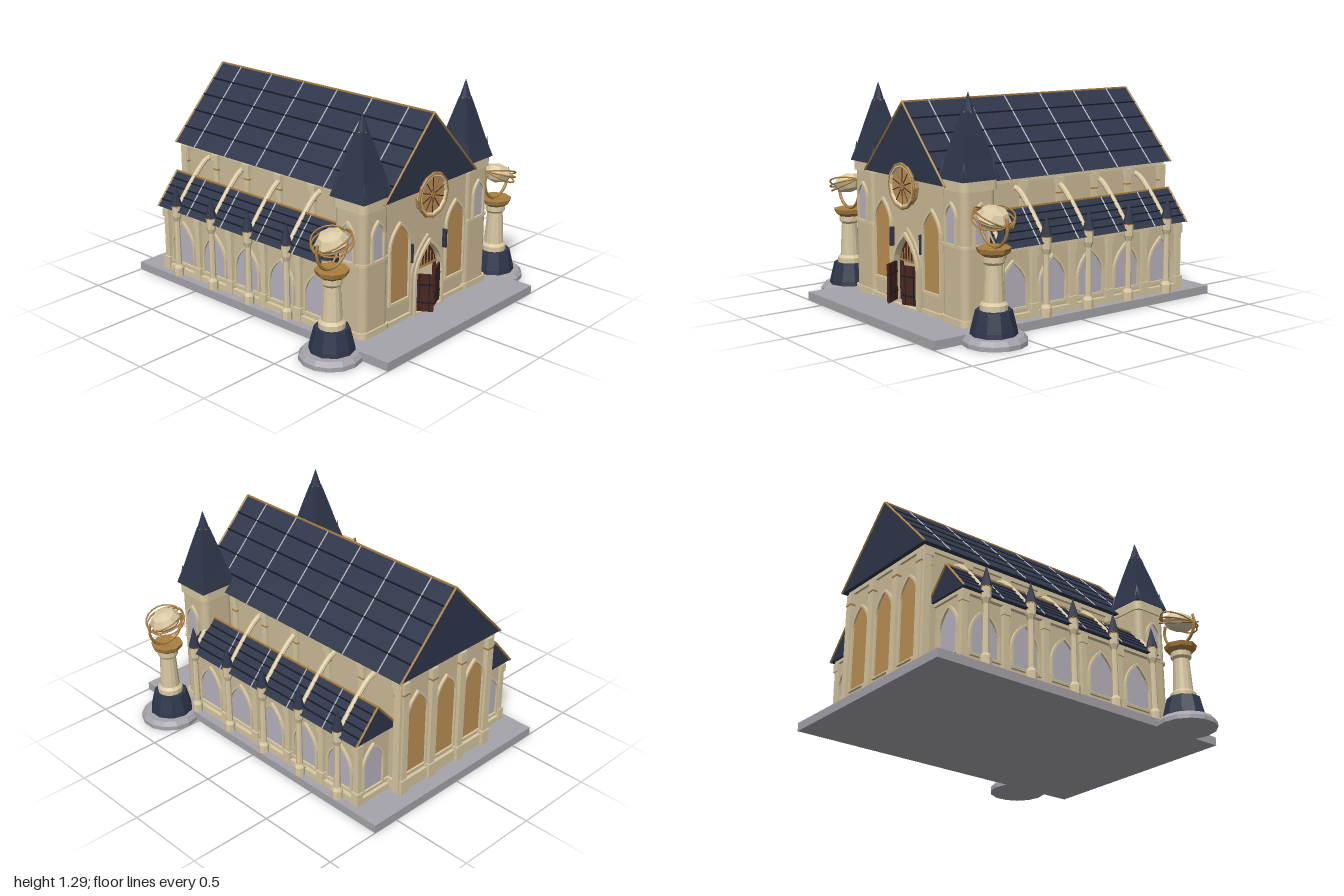
import * as THREE from 'three';

const mat = (name, color, flat = true) => {
  const m = new THREE.MeshStandardMaterial({ color, flatShading: flat });
  m.name = name;
  return m;
};

export function createModel() {
  const root = new THREE.Group();
  const stone = mat('stone', 0xcdbc98), pale = mat('paleStone', 0xd8c8a2), navy = mat('slate', 0x2e364a);
  const dark = mat('darkSlate', 0x181d2a), gold = mat('gold', 0xa97f40), amber = mat('amberGlass', 0xbd9154);
  const glass = mat('clearGlass', 0xb8b4bf), paving = mat('paving', 0xa6a4ab), wood = mat('wood', 0x4a261f);
  glass.side = amber.side = THREE.DoubleSide;

  const add = (name, geo, m, x = 0, y = 0, z = 0, parent = root) => {
    const mesh = new THREE.Mesh(geo, m);
    mesh.name = name;
    mesh.position.set(x, y, z);
    parent.add(mesh);
    return mesh;
  };
  const group = (name, x, y, z, parent = root) => {
    const g = new THREE.Group();
    g.name = name;
    g.position.set(x, y, z);
    parent.add(g);
    return g;
  };
  // box given by its limits
  const block = (name, m, x0, x1, y0, y1, z0, z1, parent = root) => add(name,
    new THREE.BoxGeometry(Math.abs(x1 - x0), y1 - y0, z1 - z0), m, (x0 + x1) / 2, (y0 + y1) / 2, (z0 + z1) / 2, parent);
  // square bar between two points
  const bar = (name, m, a, b, w, parent = root, h = w) => {
    const A = new THREE.Vector3(...a), B = new THREE.Vector3(...b);
    const o = add(name, new THREE.BoxGeometry(w, h, A.distanceTo(B)), m, 0, 0, 0, parent);
    o.position.copy(A).lerp(B, 0.5);
    o.quaternion.setFromUnitVectors(new THREE.Vector3(0, 0, 1), B.sub(A).normalize());
    return o;
  };
  const lathe = (pts, n) => new THREE.LatheGeometry(pts.map(p => new THREE.Vector2(...p)), n);
  const extrude = (shape, depth) => new THREE.ExtrudeGeometry(shape, { depth, bevelEnabled: false, curveSegments: 6 });

  // pointed arch outline of half width w, from y0 up to y1
  const arch = (w, y0, y1) => {
    const s = new THREE.Shape(), spring = y1 - 1.7 * w;
    s.moveTo(-w, y0);
    s.lineTo(w, y0);
    s.lineTo(w, spring);
    s.quadraticCurveTo(w, y1 - 0.75 * w, 0, y1);
    s.quadraticCurveTo(-w, y1 - 0.75 * w, -w, spring);
    s.lineTo(-w, y0);
    return s;
  };
  const archRing = (w, y0, y1, t, depth) => {
    const s = arch(w + t, y0 - t * 0.7, y1 + t * 1.5);
    s.holes.push(arch(w, y0, y1));
    return extrude(s, depth);
  };
  const archWindow = (name, m, w, h, x, y, z, ry = 0) => {
    const g = group(name, x, y, z);
    g.rotation.y = ry;
    add('pane', new THREE.ShapeGeometry(arch(w, 0, h), 6), m, 0, 0, 0.004, g);
    add('frame', archRing(w, 0, h, 0.012, 0.016), pale, 0, 0, 0, g);
  };

  // gabled roof along z, with slate courses, pale seams and gold edges
  const gableRoof = (name, cx, half, y0, y1, z0, z1, courses, seams, t) => {
    const g = group(name, cx, 0, 0);
    const tri = new THREE.Shape([[-half, y0], [half, y0], [0, y1]].map(p => new THREE.Vector2(...p)));
    add('slates', extrude(tri, z1 - z0), navy, 0, 0, z0, g);
    const at = f => [half * (1 - f), y0 + (y1 - y0) * f];
    for (const s of [-1, 1]) {
      for (let i = 1; i < courses; i++) {
        const [x, y] = at(i / courses);
        bar('course', dark, [s * x, y, z0], [s * x, y, z1], t, g);
      }
      for (const z of seams) bar('seam', paving, [s * half, y0, z], [0, y1, z], 0.007, g);
      for (const z of [z0, z1]) bar('verge', gold, [s * half, y0, z], [0, y1, z], 0.01, g);
    }
    bar('ridge', gold, [0, y1, z0], [0, y1, z1], 0.009, g);
  };

  // paved base with round side pads
  block('base', paving, -0.665, 0.665, 0, 0.05, -1, 1);

  // nave
  block('naveWall', stone, -0.36, 0.36, 0.05, 0.79, -0.88, 0.56);
  block('navePlinth', pale, -0.375, 0.375, 0.05, 0.12, -0.9, 0.5);
  block('naveCornice', pale, -0.375, 0.375, 0.765, 0.79, -0.895, 0.7);
  gableRoof('mainRoof', 0, 0.41, 0.79, 1.215, -0.92, 0.75, 5, [-0.75, -0.485, -0.22, 0.045, 0.31, 0.575], 0.008);

  // facade with doorway
  const wall = new THREE.Shape([[-0.36, 0.05], [0.36, 0.05], [0.36, 0.79], [-0.36, 0.79]].map(p => new THREE.Vector2(...p)));
  wall.holes.push(arch(0.115, 0.07, 0.46));
  add('facade', extrude(wall, 0.15), stone, 0, 0, 0.57);
  block('doorwayShade', dark, -0.13, 0.13, 0.06, 0.48, 0.561, 0.569);
  for (const s of [-1, 1]) block('facadePlinth', pale, s * 0.15, s * 0.35, 0.05, 0.075, 0.71, 0.735);
  for (const s of [-1, 1]) block('facadeSill', pale, s * 0.165, s * 0.335, 0.165, 0.18, 0.71, 0.735);
  add('portalInner', archRing(0.115, 0.06, 0.46, 0.016, 0.035), pale, 0, 0, 0.715);
  add('portalOuter', archRing(0.131, 0.06, 0.484, 0.016, 0.02), stone, 0, 0, 0.715);
  const tympanum = arch(0.116, 0.07, 0.46);
  tympanum.holes.push(new THREE.Path([[-0.105, 0.075], [0.105, 0.075], [0.105, 0.305], [-0.105, 0.305]].map(p => new THREE.Vector2(...p))));
  add('tympanum', extrude(tympanum, 0.02), wood, 0, 0, 0.685);
  for (let i = -3; i <= 3; i++) block('tympanumBar', gold, i * 0.028 - 0.002, i * 0.028 + 0.002, 0.31, 0.44 - Math.abs(i) * 0.03, 0.705, 0.711);
  block('lintel', gold, -0.112, 0.112, 0.304, 0.312, 0.705, 0.714);
  // two open door leaves with iron straps
  for (const [s, open] of [[-1, 1.02], [1, 0.4]]) {
    const leaf = group('doorLeaf', s * 0.115, 0.075, 0.728);
    leaf.rotation.y = s * open;
    block('leaf', wood, 0, -s * 0.112, 0, 0.225, -0.006, 0.006, leaf);
    for (const y of [0.05, 0.16]) block('strap', dark, 0, -s * 0.112, y, y + 0.008, -0.009, 0.009, leaf);
    for (const x of [0.03, 0.085]) block('stile', dark, -s * x, -s * (x + 0.005), 0, 0.225, -0.008, 0.008, leaf);
    block('lamp', navy, s * 0.145, s * 0.158, 0.38, 0.49, 0.72, 0.745);
    archWindow('facadeWindow', amber, 0.078, 0.45, s * 0.25, 0.182, 0.721);
  }

  // rose window
  const rose = group('roseWindow', 0, 0.745, 0.73);
  add('pane', new THREE.CylinderGeometry(0.115, 0.115, 0.05, 12), amber, 0, 0, 0, rose).rotation.x = Math.PI / 2;
  add('rim', new THREE.TorusGeometry(0.118, 0.013, 6, 12), pale, 0, 0, 0.024, rose);
  add('rimEdge', new THREE.TorusGeometry(0.126, 0.009, 6, 12), gold, 0, 0, 0.03, rose);
  add('hub', new THREE.CylinderGeometry(0.02, 0.02, 0.06, 10), gold, 0, 0, 0, rose).rotation.x = Math.PI / 2;
  for (let i = 0; i < 10; i++) {
    const a = i * Math.PI / 5 + 0.31;
    bar('spoke', wood, [0, 0, 0.025], [0.113 * Math.cos(a), 0.113 * Math.sin(a), 0.025], 0.005, rose);
  }

  // back windows and pilasters
  for (const x of [-0.235, 0, 0.235]) archWindow('backWindow', amber, 0.075, 0.49, x, 0.16, -0.881, Math.PI);
  for (const x of [-0.345, -0.118, 0.118, 0.345]) {
    block('backPilaster', pale, x - 0.022, x + 0.022, 0.05, 0.765, -0.91, -0.87);
    block('pilasterBase', pale, x - 0.03, x + 0.03, 0.05, 0.14, -0.918, -0.87);
    block('pilasterCap', gold, x - 0.024, x + 0.024, 0.69, 0.7, -0.912, -0.87);
  }

  const roundedSquare = (h, r) => {
    const s = new THREE.Shape();
    for (let i = 0; i < 4; i++) {
      const a = i * Math.PI / 2;
      s.absarc((h - r) * Math.SQRT2 * Math.cos(a + Math.PI / 4), (h - r) * Math.SQRT2 * Math.sin(a + Math.PI / 4), r, a, a + Math.PI / 2);
    }
    return s;
  };
  const pillarGeo = lathe([[0, 0.05], [0.032, 0.05], [0.032, 0.1], [0.02, 0.12], [0.017, 0.4], [0.028, 0.43], [0.028, 0.5], [0, 0.5]], 8);

  for (const s of [-1, 1]) {
    // corner tower
    const tower = group('tower', s * 0.45, 0, 0.625);
    const tier = (name, m, h, y0, y1) => { add(name, extrude(roundedSquare(h, 0.04), y1 - y0), m, 0, y0, 0, tower).rotation.x = -Math.PI / 2; };
    tier('shaft', stone, 0.108, 0.05, 0.83);
    tier('plinth', pale, 0.118, 0.05, 0.085);
    tier('stringCourse', pale, 0.114, 0.47, 0.485);
    tier('cornice', pale, 0.118, 0.775, 0.832);
    add('spire', lathe([[0, 0.83], [0.172, 0.83], [0.165, 0.85], [0.128, 0.94], [0.085, 1.06], [0.036, 1.19], [0, 1.2]], 4), navy, 0, 0, 0, tower).rotation.y = Math.PI / 4;
    add('finial', new THREE.ConeGeometry(0.033, 0.105, 8), navy, 0, 1.242, 0, tower);
    add('finialCollar', new THREE.CylinderGeometry(0.028, 0.03, 0.008, 8), gold, 0, 1.188, 0, tower);
    for (const a of [-1, 1]) for (const b of [-1, 1]) {
      add('cornerSpike', new THREE.ConeGeometry(0.024, 0.11, 4), navy, a * 0.096, 0.892, b * 0.096, tower);
    }
    archWindow('towerWindow', glass, 0.042, 0.21, s * 0.45, 0.49, 0.734);
    archWindow('towerWindow', glass, 0.042, 0.21, s * 0.559, 0.49, 0.625, s * Math.PI / 2);

    // side aisle
    block('aisleWall', stone, s * 0.34, s * 0.59, 0.05, 0.46, -0.8, 0.56);
    block('aislePlinth', pale, s * 0.34, s * 0.615, 0.05, 0.085, -0.82, 0.57);
    block('aisleSill', pale, s * 0.34, s * 0.605, 0.105, 0.118, -0.81, 0.565);
    block('aisleCornice', pale, s * 0.34, s * 0.615, 0.44, 0.462, -0.815, 0.57);
    gableRoof('aisleRoof', s * 0.485, 0.16, 0.46, 0.645, -0.83, 0.575, 5, [0.29, 0.015, -0.285, -0.57], 0.007);
    archWindow('aisleBackWindow', glass, 0.07, 0.27, s * 0.49, 0.12, -0.801, Math.PI);
    add('aisleDoor', new THREE.ShapeGeometry(arch(0.085, 0.08, 0.33), 6), wood, s * 0.495, 0, 0.572);

    for (let i = 0; i < 5; i++) {
      const zw = 0.44 - i * 0.275, zb = 0.54 - i * 0.304;
      archWindow('aisleWindow', glass, 0.088, 0.25, s * 0.591, 0.12, zw, s * Math.PI / 2);
      // pilasters between the windows
      const zp = zw - 0.1375;
      block('aislePilaster', pale, s * 0.58, s * 0.612, 0.05, 0.44, zp - 0.018, zp + 0.018);
      block('pilasterFoot', pale, s * 0.58, s * 0.622, 0.05, 0.13, zp - 0.026, zp + 0.026);
      block('pilasterCap', pale, s * 0.58, s * 0.62, 0.39, 0.44, zp - 0.024, zp + 0.024);
      // pinnacle pillar and flying buttress
      add('pillar', pillarGeo, pale, s * 0.632, 0, zb);
      add('pillarTop', new THREE.ConeGeometry(0.034, 0.13, 8), navy, s * 0.632, 0.565, zb);
      add('pillarBand', new THREE.CylinderGeometry(0.031, 0.031, 0.008, 8), gold, s * 0.632, 0.498, zb);
      const path = new THREE.CatmullRomCurve3([[0.35, 0.735], [0.4, 0.715], [0.48, 0.64], [0.56, 0.55], [0.632, 0.46]]
        .map(([x, y]) => new THREE.Vector3(s * x, y, zb)));
      add('flyingButtress', new THREE.TubeGeometry(path, 10, 0.016, 8), pale);
    }
    // upper wall pilasters
    for (let i = 0; i < 6; i++) {
      const z = 0.46 - i * 0.265;
      block('upperPilaster', pale, s * 0.35, s * 0.378, 0.45, 0.77, z - 0.018, z + 0.018);
      block('upperCap', pale, s * 0.35, s * 0.388, 0.73, 0.77, z - 0.026, z + 0.026);
      block('upperBand', gold, s * 0.35, s * 0.381, 0.672, 0.68, z - 0.02, z + 0.02);
    }
    block('backCornerPilaster', pale, s * 0.35, s * 0.385, 0.05, 0.77, -0.9, -0.855);

    // armillary monument
    const mon = group('monument', s * 0.735, 0, 0.67);
    add('pad', lathe([[0, 0], [0.175, 0], [0.175, 0.025], [0.155, 0.05], [0, 0.05]], 14), paving, s * 0.01, 0, 0, mon);
    add('foot', lathe([[0, 0.05], [0.128, 0.05], [0.124, 0.075], [0.098, 0.18], [0, 0.18]], 10), navy, 0, 0, 0, mon);
    add('pedestal', lathe([[0, 0.18], [0.075, 0.18], [0.075, 0.21], [0.058, 0.225], [0.047, 0.42], [0.06, 0.435], [0.06, 0.465], [0, 0.465]], 14), pale, 0, 0, 0, mon);
    add('bowl', lathe([[0, 0.465], [0.06, 0.465], [0.088, 0.485], [0.095, 0.51], [0.06, 0.51], [0, 0.5]], 8), gold, 0, 0, 0, mon);
    const arc = add('cradle', new THREE.TorusGeometry(0.118, 0.009, 6, 16, Math.PI * 1.25), gold, 0, 0.63, 0, mon);
    arc.rotation.z = -Math.PI * 1.125;
    const globe = group('globe', 0, 0.665, 0, mon);
    globe.rotation.z = -s * 0.33;
    const crystal = add('crystal', new THREE.SphereGeometry(0.095, 8, 4), pale, 0, 0, 0, globe);
    crystal.scale.y = 0.62;
    for (const t of [0, 0.3, -0.3]) {
      add('orbitRing', new THREE.TorusGeometry(0.113, 0.005, 5, 20), gold, 0, 0, 0, globe).rotation.x = Math.PI / 2 + t;
    }
    bar('axis', gold, [-0.118, 0, 0], [0.118, 0, 0], 0.008, globe);
  }
  return root;
}
